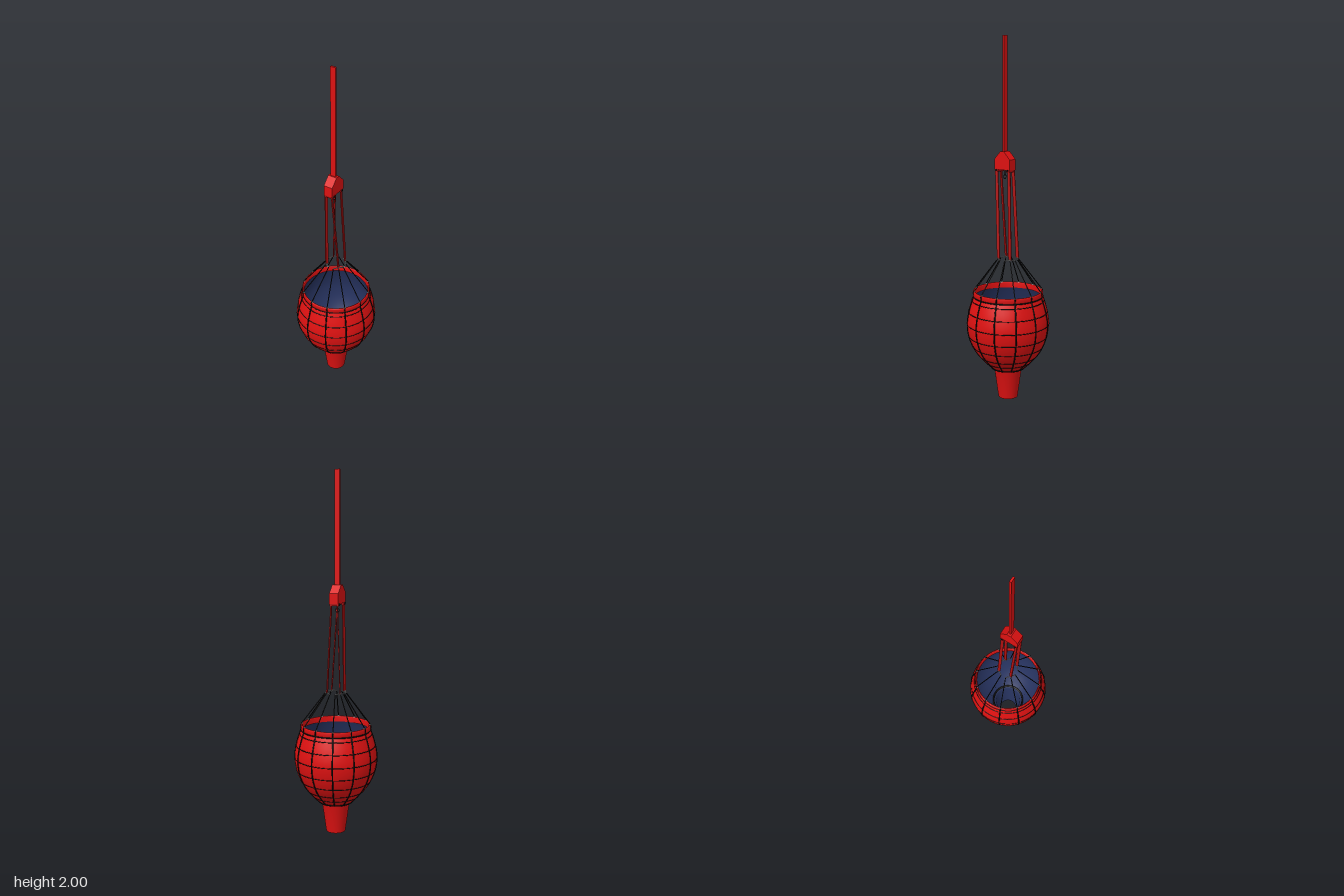
import * as THREE from 'three';

const mat = (color, side = THREE.FrontSide) => new THREE.MeshStandardMaterial({ color, side });
const RED = mat(0xdd1111), DARK_RED = mat(0xb01010), BLACK = mat(0x0a0a0a), GREY = mat(0xbbbbbb);
const RED_SHELL = mat(0xdd1111, THREE.DoubleSide), NAVY = mat(0x26325e, THREE.DoubleSide);
const V = (x, y, z) => new THREE.Vector3(x, y, z);
const OFFSET = THREE.MathUtils.degToRad(4.5);
const ROPES = 12;

export function createModel() {
  const model = new THREE.Group();
  const add = (name, geometry, material, parent = model) => {
    const m = new THREE.Mesh(geometry, material);
    m.name = name;
    parent.add(m);
    return m;
  };
  const polar = (r, y, a) => V(r * Math.cos(a), y, r * Math.sin(a));

  // Flat bar or round rod running from a to b
  const link = (name, geometry, a, b, material, yaw = 0) => {
    const m = add(name, geometry, material);
    const dir = b.clone().sub(a);
    m.scale.y = dir.length();
    m.position.copy(a).add(b).multiplyScalar(0.5);
    m.quaternion.setFromUnitVectors(V(0, 1, 0), dir.normalize())
      .multiply(new THREE.Quaternion().setFromAxisAngle(V(0, 1, 0), yaw));
    return m;
  };

  // Bowl profile, shared by the fabric, the hoops and the vertical webbing
  const profile = new THREE.SplineCurve([
    [0.093, 0.175], [0.125, 0.205], [0.18, 0.27], [0.217, 0.35],
    [0.229, 0.43], [0.22, 0.5], [0.203, 0.56], [0.192, 0.59],
  ].map(p => new THREE.Vector2(...p)));
  const pts = profile.getPoints(28);
  const radiusAt = y => {
    const i = Math.max(1, pts.findIndex(p => p.y >= y));
    const a = pts[i - 1], b = pts[i];
    return a.x + (b.x - a.x) * (y - a.y) / (b.y - a.y);
  };
  const inset = (p, d) => new THREE.Vector2(p.x - d, p.y);
  add('bowl', new THREE.LatheGeometry(pts, 48), RED);
  add('bowlLining', new THREE.LatheGeometry(pts.map(p => inset(p, 0.005)), 48), NAVY);

  // Rim band with a rounded top edge
  const band = [[0.183, 0.585], [0.194, 0.585], [0.194, 0.612], [0.191, 0.618], [0.186, 0.618], [0.183, 0.612], [0.183, 0.585]];
  add('rimBand', new THREE.LatheGeometry(band.map(p => new THREE.Vector2(...p)), 48), RED_SHELL);

  // Discharge spout, open at both ends
  const spout = [[0.054, 0], [0.078, 0.175], [0.094, 0.178]].map(p => new THREE.Vector2(...p));
  add('spout', new THREE.LatheGeometry(spout, 32), RED_SHELL);
  add('spoutLining', new THREE.LatheGeometry(spout.map(p => inset(p, 0.002).add(new THREE.Vector2(0, 0.001))), 32), NAVY);

  // Horizontal hoops and the collar above the spout
  const hoop = (name, r, y, t) => {
    const m = add(name, new THREE.TorusGeometry(r, t, 6, 48), BLACK);
    m.rotation.x = Math.PI / 2;
    m.position.y = y;
  };
  for (const y of [0.21, 0.245, 0.3, 0.36, 0.43, 0.5, 0.565]) hoop('hoop', radiusAt(y) - 0.0005, y, 0.0025);
  hoop('collar', 0.093, 0.178, 0.007);
  hoop('rimCord', 0.192, 0.588, 0.004);

  // Vertical webbing, rim tabs and suspension ropes
  const rod = new THREE.CylinderGeometry(0.0028, 0.0028, 1, 6);
  for (let i = 0; i < ROPES; i++) {
    const a = OFFSET + i * Math.PI * 2 / ROPES;
    const path = pts.filter((p, k) => k % 2 === 0).map(p => polar(p.x, p.y, a));
    path.push(polar(0.195, 0.615, a));
    add('webbing', new THREE.TubeGeometry(new THREE.CatmullRomCurve3(path), 28, 0.004, 6), BLACK);
    const tab = add('rimTab', new THREE.BoxGeometry(0.007, 0.03, 0.013), GREY);
    tab.position.copy(polar(0.188, 0.606, a));
    tab.rotation.y = -a;
    link('rope', rod, polar(0.194, 0.615, a), polar(0.058, 0.795, a), BLACK);
  }

  // Lifting head, built around its own long axis (x) and turned into place
  const head = new THREE.Group();
  head.name = 'liftingHead';
  head.position.set(-0.0175, 0, 0.0125);
  head.rotation.y = 0.64;
  model.add(head);
  const outline = new THREE.Shape([
    [-0.052, 1.288], [0.052, 1.288], [0.052, 1.345], [0.012, 1.388], [-0.012, 1.388], [-0.052, 1.345],
  ].map(p => new THREE.Vector2(...p)));
  const plate = (name, depth, z) =>
    add(name, new THREE.ExtrudeGeometry(outline, { depth, bevelEnabled: false }), RED, head).position.z = z - depth / 2;
  plate('headCore', 0.04, 0);
  for (const s of [-1, 1]) {
    plate('headCover', 0.006, s * 0.023);
    const foot = add('headFoot', new THREE.BoxGeometry(0.022, 0.014, 0.054), DARK_RED, head);
    foot.position.set(s * 0.038, 1.284, 0);
    const pin = add('headPin', new THREE.CylinderGeometry(0.005, 0.005, 0.062, 8), BLACK, head);
    pin.rotation.x = Math.PI / 2;
    pin.position.set(s * 0.038, 1.286, 0);
  }

  // Long flat lifting strap
  add('liftingStrap', new THREE.BoxGeometry(0.011, 0.625, 0.03), RED, head).position.y = 1.6875;

  // Shackle and cable end hanging below the head
  const shackle = add('shackle', new THREE.TorusGeometry(0.011, 0.002, 6, 16), BLACK, head);
  shackle.position.y = 1.25;
  shackle.rotation.y = Math.PI / 2;
  add('shackleStem', new THREE.CylinderGeometry(0.002, 0.002, 0.03, 6), BLACK, head).position.y = 1.275;

  // Four flat legs, each gathering three ropes through small links
  head.updateMatrix();
  const legBar = new THREE.BoxGeometry(0.006, 1, 0.017);
  const corners = [[1, 1], [-1, 1], [-1, -1], [1, -1]];
  corners.forEach(([sx, sz], k) => {
    const a = OFFSET + k * Math.PI / 2;
    const top = V(sx * 0.042, 1.285, sz * 0.018).applyMatrix4(head.matrix);
    const foot = polar(0.053, 0.8, a);
    link('leg', legBar, top, foot, DARK_RED, head.rotation.y);
    for (const d of [-1, 1]) {
      link('ropeLink', rod, polar(0.058, 0.795, a + d * Math.PI / 6), foot, GREY);
    }
    const ring = add('legRing', new THREE.TorusGeometry(0.007, 0.002, 6, 14), GREY);
    ring.position.copy(polar(0.055, 0.796, a));
    ring.rotation.y = -a;
  });

  return model;
}
